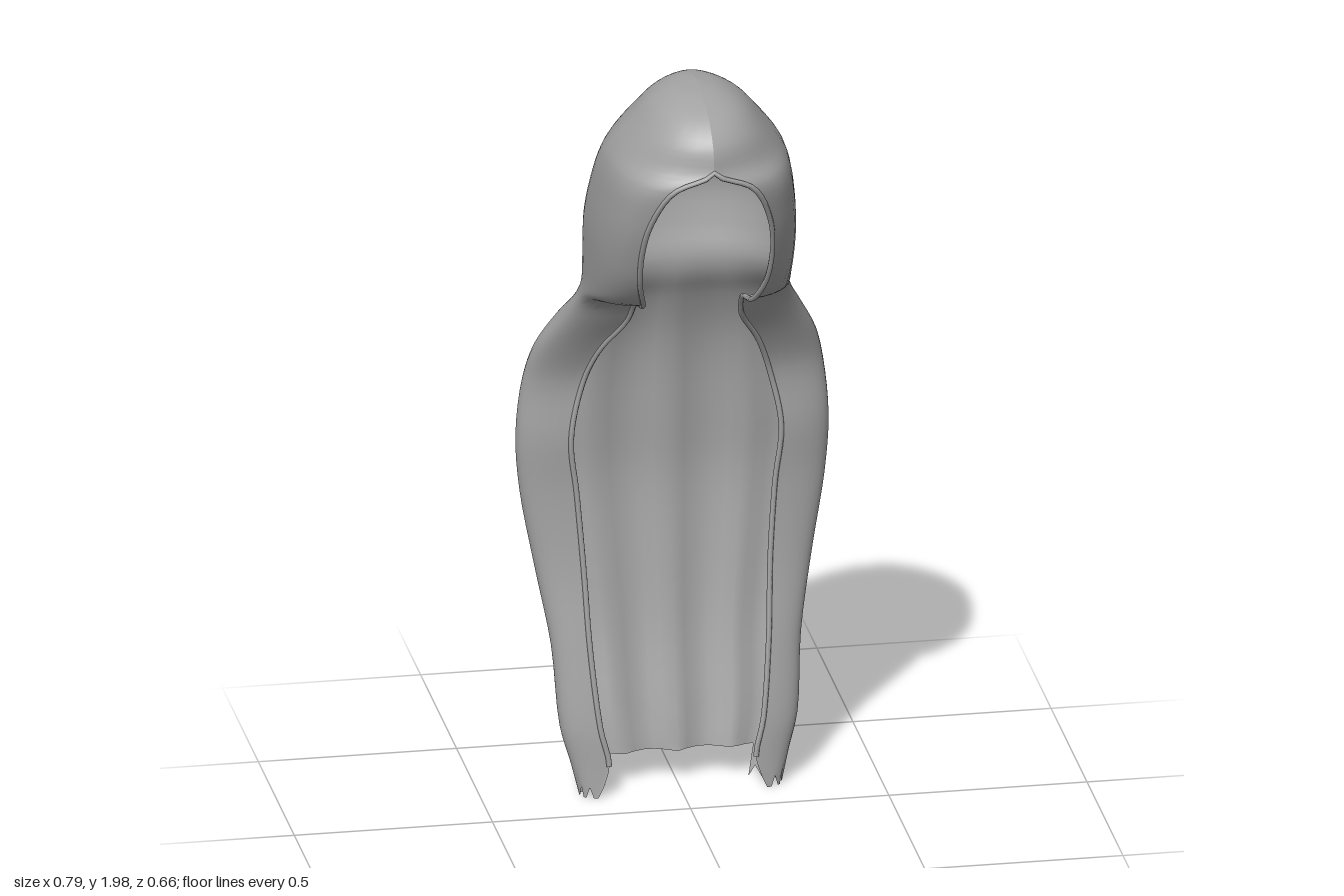
import * as THREE from 'three';

// Key sections: y, back z, outer x, z at outer x, front edge x, front edge z, squareness
const SECTIONS = [
  [0.03, -0.17, 0.255, -0.145, 0.20, -0.105, 3.5],
  [0.105, -0.18, 0.275, -0.155, 0.185, -0.11, 3.5],
  [0.20, -0.20, 0.30, -0.17, 0.205, -0.12, 3.5],
  [0.40, -0.245, 0.315, -0.205, 0.225, -0.155, 3.5],
  [0.60, -0.275, 0.35, -0.245, 0.235, -0.19, 3.5],
  [0.80, -0.295, 0.385, -0.26, 0.25, -0.205, 3.5],
  [0.95, -0.29, 0.395, -0.26, 0.265, -0.20, 3.5],
  [1.10, -0.28, 0.38, -0.25, 0.235, -0.20, 3.3],
  [1.20, -0.265, 0.355, -0.22, 0.20, -0.16, 3],
  [1.30, -0.235, 0.305, -0.17, 0.145, -0.09, 2.6],
  [1.37, -0.205, 0.27, -0.11, 0.135, -0.03, 2.3],
  [1.42, -0.20, 0.26, -0.08, 0.14, 0.11, 2.2],
  [1.50, -0.22, 0.26, -0.06, 0.16, 0.18, 2.2],
  [1.60, -0.235, 0.26, -0.04, 0.165, 0.23, 2.2],
  [1.70, -0.215, 0.25, -0.01, 0.15, 0.275, 2.1],
  [1.80, -0.185, 0.23, 0.03, 0.10, 0.32, 2],
  [1.85, -0.165, 0.205, 0.05, 0, 0.33, 2],
  [1.91, -0.125, 0.16, 0.07, 0, 0.315, 2],
  [1.96, -0.075, 0.115, 0.08, 0, 0.26, 2],
  [1.99, -0.02, 0.06, 0.08, 0, 0.17, 2],
  [2.00, 0.05, 0, 0.06, 0, 0.07, 2],
];
const BACK = 16, FRONT = 8, HALF = BACK + FRONT, SUB = 4;
const HOOD_START = 10, RIM_TOP = 16;

// One point of a half section, column 0 = middle of the back, HALF = front edge
function sectionPoint([y, zb, xo, zo, xi, zi, n], col) {
  if (col <= BACK) {
    const t = Math.sin((col / BACK) * Math.PI / 2);
    const z = zo + (zb - zo) * Math.pow(Math.max(0, 1 - t ** n), 1 / n);
    // Long soft folds down the back of the cape, fading into the hood
    const depth = 0.028 * Math.min(1, Math.max(0, (n - 2.2) / 1.2));
    return new THREE.Vector3(xo * t, y, z - depth * Math.abs(Math.sin(2 * Math.PI * t)) * (1 - t ** 6));
  }
  // Front flap curling from the widest point to the opening
  const s = (col - BACK) / FRONT, a = (1 - s) ** 2, b = 2 * s * (1 - s), c = s * s;
  return new THREE.Vector3(a * xo + b * xo + c * xi, y, a * zo + b * (zo + (zi - zo) * 0.85) + c * zi);
}

// Smooth lengthwise curve of each column
function columnCurve(col) {
  const pts = SECTIONS.map((s) => sectionPoint(s, col));
  // Ragged hanging corners at the hem
  pts[0].y += (col % 3 === 0 ? 0.02 : -0.008);
  return new THREE.CatmullRomCurve3(pts);
}

export function createModel() {
  const group = new THREE.Group();
  const cloth = new THREE.MeshStandardMaterial({ color: 0xa3a3a3, side: THREE.DoubleSide });

  const rows = (SECTIONS.length - 1) * SUB, width = 2 * HALF + 1;
  const columns = [];
  for (let c = 0; c <= HALF; c++) columns.push(columnCurve(c).getPoints(rows));
  const positions = [];
  for (let r = 0; r <= rows; r++) {
    for (let j = -HALF; j <= HALF; j++) {
      const p = columns[Math.abs(j)][r];
      positions.push(Math.sign(j) * Math.max(0, p.x), p.y, p.z);
    }
  }

  // Triangles for a band of rows, facing outwards
  function band(from, to, keep = () => true) {
    const index = [];
    for (let r = from; r < to; r++) {
      for (let c = 0; c < width - 1; c++) {
        if (!keep(Math.min(Math.abs(c - HALF), Math.abs(c + 1 - HALF)))) continue;
        const a = r * width + c, b = a + 1, d = a + width, e = d + 1;
        index.push(a, d, b, b, d, e);
      }
    }
    return index;
  }
  const corners = band(0, SUB, (col) => col >= 8);
  const cape = band(SUB, HOOD_START * SUB);
  const hood = band(HOOD_START * SUB, rows);

  // Shared normals keep the seam between cape and hood smooth
  const whole = new THREE.BufferGeometry();
  whole.setAttribute('position', new THREE.Float32BufferAttribute(positions, 3));
  whole.setIndex([...corners, ...cape, ...hood]);
  whole.computeVertexNormals();

  function addPart(name, index) {
    const geometry = new THREE.BufferGeometry();
    geometry.setAttribute('position', whole.getAttribute('position'));
    geometry.setAttribute('normal', whole.getAttribute('normal'));
    geometry.setIndex(index);
    const mesh = new THREE.Mesh(geometry, cloth);
    mesh.name = name;
    group.add(mesh);
  }
  addPart('hemCorners', corners);
  addPart('cape', cape);
  addPart('hood', hood);

  // Rolled edge along the whole opening, up one side and down the other
  const side = columns[HALF].slice(SUB, RIM_TOP * SUB + 1);
  const mirrored = side.slice(0, -1).reverse().map((p) => new THREE.Vector3(-p.x, p.y, p.z));
  const edge = new THREE.CatmullRomCurve3([...side, ...mirrored]);
  const rim = new THREE.Mesh(new THREE.TubeGeometry(edge, 160, 0.007, 6), cloth);
  rim.name = 'openingEdge';
  group.add(rim);
  return group;
}
